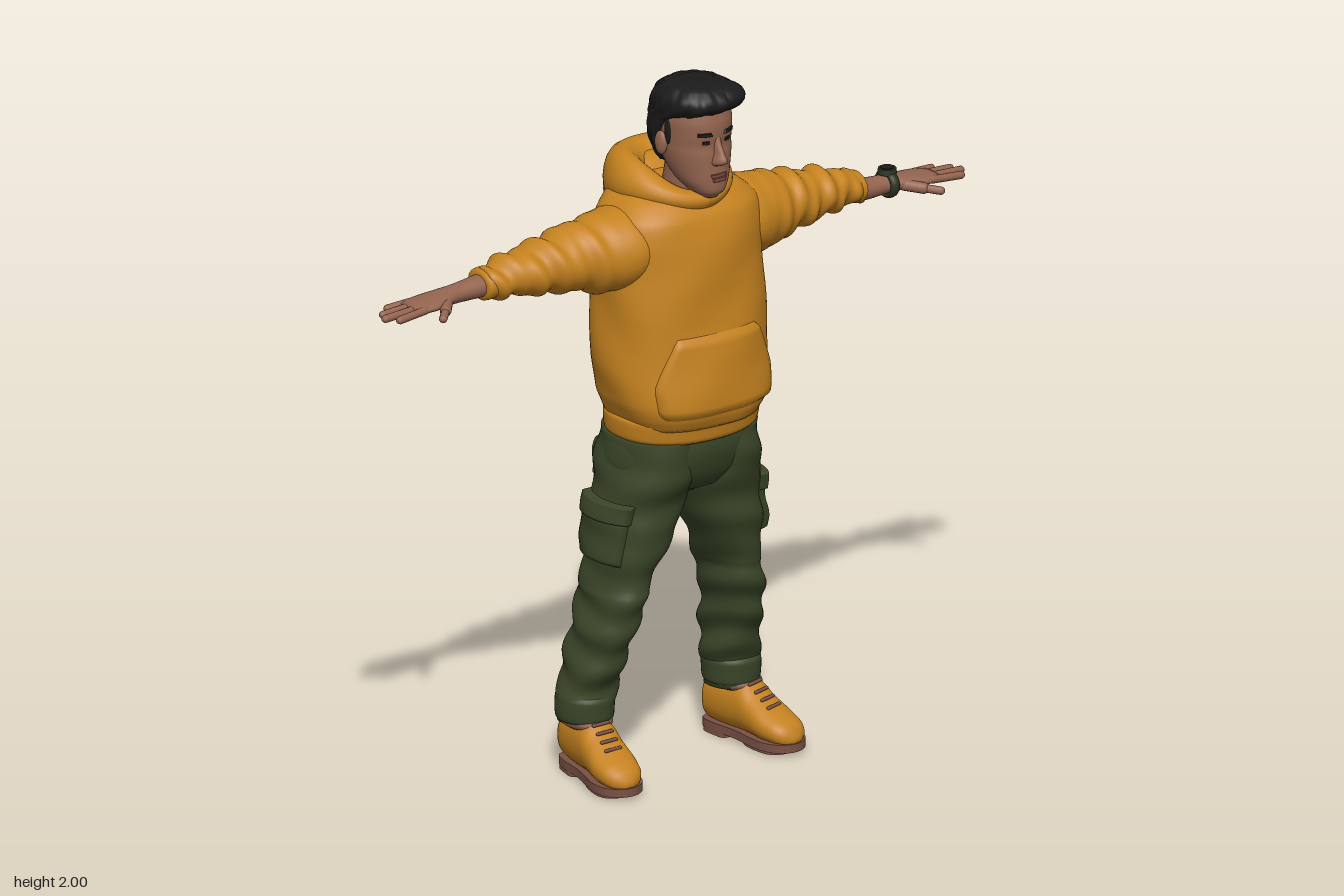
import * as THREE from 'three';

const mat = (name, color) => Object.assign(new THREE.MeshStandardMaterial({ color }), { name });
const M = {
  hoodie: mat('mustard cloth', 0xc5821f), pants: mat('olive cloth', 0x3a4628),
  skin: mat('skin', 0x93644f), hair: mat('black hair', 0x1b1b1c),
  shoe: mat('tan leather', 0xc4811f), sole: mat('brown rubber', 0x7a5145),
  watch: mat('dark green strap', 0x2c3423), lips: mat('lips', 0x7d4c42),
};
const lerp = THREE.MathUtils.lerp;
const signedPow = (v, e) => Math.sign(v) * Math.abs(v) ** e;

// Grid of points p(i, j); wrap closes the j direction, caps close the ends
function sheet(p, n, m, { wrap = false, flip = false, caps = false } = {}) {
  const pos = [], idx = [], w = wrap ? m : m + 1;
  const tri = (a, b, c) => (flip ? idx.push(a, c, b) : idx.push(a, b, c));
  for (let i = 0; i <= n; i++) for (let j = 0; j < w; j++) pos.push(...p(i, j));
  for (let i = 0; i < n; i++) for (let j = 0; j < m; j++) {
    const a = i * w + j, b = i * w + (j + 1) % w;
    tri(a, b, b + w); tri(a, b + w, a + w);
  }
  if (caps) for (const i of [0, n]) {
    const mid = [0, 0, 0], c = pos.length / 3;
    for (let j = 0; j < w; j++) for (let k = 0; k < 3; k++) mid[k] += pos[(i * w + j) * 3 + k] / w;
    pos.push(...mid);
    for (let j = 0; j < m; j++) {
      const a = i * w + j, b = i * w + (j + 1) % w;
      if (i) tri(a, b, c); else tri(b, a, c);
    }
  }
  const g = new THREE.BufferGeometry();
  g.setAttribute('position', new THREE.Float32BufferAttribute(pos, 3));
  g.setIndex(idx);
  g.computeVertexNormals();
  return g;
}

// Smooth lookup in rings of [t, centre1, centre2, radius1, radius2]
function ringAt(rings, t) {
  let k = 0;
  while (k < rings.length - 2 && t > rings[k + 1][0]) k++;
  const R = (i) => rings[Math.min(Math.max(i, 0), rings.length - 1)];
  const f = (t - R(k)[0]) / (R(k + 1)[0] - R(k)[0]);
  return [1, 2, 3, 4].map((q) => {
    const [a, b, c, d] = [R(k - 1)[q], R(k)[q], R(k + 1)[q], R(k + 2)[q]];
    return b + 0.5 * f * (c - a + f * (2 * a - 5 * b + 4 * c - d + f * (3 * (b - c) + d - a)));
  });
}
function surfacePoint(o, t, a, extra = 0) {
  const [c1, c2, r1, r2] = ringAt(o.rings, t), e = o.e ?? 1, s = o.s ?? 1;
  const d = extra + (o.fold ? o.fold(t, a) : 0);
  const u = c1 + (r1 + d) * signedPow(Math.cos(a), e), v = c2 + (r2 + d) * signedPow(Math.sin(a), e);
  return o.axis === 'y' ? [u, t, v * s] : o.axis === 'z' ? [u, v, t * s] : [t, u, v * s];
}
const flipped = (o) => (o.axis === 'y') !== ((o.s ?? 1) < 0);
function loft(o, n = 40, m = 40) {
  const t0 = o.rings[0][0], t1 = o.rings.at(-1)[0];
  return sheet((i, j) => surfacePoint(o, lerp(t0, t1, i / n), j / m * Math.PI * 2), n, m,
    { wrap: true, caps: true, flip: flipped(o) });
}
// Raised patch that follows a loft; a0 and a1 give its side edges
function panel(o, t0, t1, a0, a1, thick, edge = -0.004, n = 14, m = 18) {
  return sheet((i, j) => {
    const rim = i === 0 || j === 0 || i === n || j === m;
    return surfacePoint(o, lerp(t0, t1, i / n), lerp(a0(i / n), a1(i / n), j / m), rim ? edge : thick);
  }, n, m, { flip: flipped(o) });
}

export function createModel() {
  const root = new THREE.Group();
  root.name = 'standingMan';
  let parent = root;
  const add = (name, geo, material) => {
    const mesh = new THREE.Mesh(geo, material);
    mesh.name = name;
    parent.add(mesh);
    return mesh;
  };
  const group = (name) => { parent = new THREE.Group(); parent.name = name; root.add(parent); return parent; };
  const ball = (name, m, p, r) => add(name, new THREE.SphereGeometry(1, 24, 16).scale(...r).translate(...p), m);
  const limb = (name, m, p, q, r) => {
    const a = new THREE.Vector3(...p), b = new THREE.Vector3(...q), d = b.clone().sub(a);
    const mesh = add(name, new THREE.CapsuleGeometry(r, d.length(), 6, 12), m);
    mesh.position.copy(a).add(b).multiplyScalar(0.5);
    mesh.quaternion.setFromUnitVectors(new THREE.Vector3(0, 1, 0), d.normalize());
  };

  // Hoodie body, hem and front pocket
  group('hoodie');
  const torso = { axis: 'y', e: 0.86, fold: (t, a) => 0.003 * Math.sin(22 * t + 3 * Math.sin(2 * a)), rings: [
    [1.03, .025, 0, .178, .208], [1.06, .03, 0, .186, .222], [1.1, .024, 0, .195, .238], [1.2, .01, 0, .196, .253],
    [1.35, .005, 0, .184, .25], [1.45, .002, 0, .18, .248], [1.55, 0, 0, .172, .25], [1.62, -.003, 0, .155, .232],
    [1.665, -.02, 0, .13, .185], [1.7, -.03, 0, .08, .12]] };
  add('body', loft(torso, 60, 64), M.hoodie);
  add('hem', loft({ axis: 'y', e: 0.88, rings: [[.985, .018, 0, .165, .206], [.993, .018, 0, .173, .216],
    [1.02, .02, 0, .176, .22], [1.048, .022, 0, .178, .22], [1.056, .022, 0, .17, .21]] }, 14, 64), M.hoodie);
  const pocketEdge = (u) => (u < 0.4 ? 0.88 : lerp(0.88, 0.5, (u - 0.4) / 0.6));
  add('frontPocket', panel(torso, 1.065, 1.3, (u) => -pocketEdge(u), pocketEdge, 0.012), M.hoodie);

  // Hood lying round the neck, fuller at the back
  add('hoodRoll', sheet((i, j) => {
    const A = i / 64 * Math.PI * 2, b = j / 20 * Math.PI * 2, c = Math.cos(A), k = (1 - c) / 2;
    const w = 0.003 * Math.sin(3 * b + 5 * k);
    const r = (0.033 + 0.035 * k + w) * Math.cos(b);
    const y = 1.69 - (c > 0 ? 0.035 : 0.025) * c * c + (0.03 + 0.065 * k + w) * Math.sin(b);
    return [-0.025 + (0.135 + r) * c, y, (0.12 + r) * Math.sin(A)];
  }, 64, 20, { wrap: true }), M.hoodie);
  ball('hoodPouch', M.hoodie, [-.125, 1.635, 0], [.088, .1, .14]);

  // Arms
  for (const s of [1, -1]) {
    const drop = s < 0 ? 0.02 : 0;
    group(s < 0 ? 'leftArm' : 'rightArm');
    add('sleeve', loft({ axis: 'z', s,
      fold: (t, a) => THREE.MathUtils.smoothstep(t, .2, .4) * (.006 * Math.sin(62 * t + 2.2 * Math.cos(a + s)) + .004 * Math.sin(105 * t - 2 * Math.sin(a))),
      rings: [[.1, -.01, 1.545, .11, .09], [.2, -.005, 1.535, .13, .112], [.28, -.008, 1.528, .114, .108],
        [.36, -.018, 1.53, .1, .09], [.45, -.025, 1.525, .088, .073], [.54, -.032, 1.522, .074, .06],
        [.61, -.036, 1.518 - drop * .4, .057, .047], [.645, -.038, 1.515 - drop * .5, .05, .042]] }, 80, 36), M.hoodie);
    add('cuff', loft({ axis: 'z', s, rings: [[.615, -.037, 1.516 - drop * .4, .046, .038], [.62, -.037, 1.516 - drop * .4, .054, .045],
      [.648, -.037, 1.515 - drop * .5, .053, .044], [.655, -.037, 1.515 - drop * .5, .04, .034]] }, 10, 28), M.hoodie);
    const y = 1.505 - drop;
    add('forearmAndPalm', loft({ axis: 'z', s, rings: [[.56, -.036, 1.516, .043, .036], [.66, -.034, y + .008, .036, .031],
      [.74, -.033, y + .005, .031, .026], [.78, -.031, y + .004, .04, .023], [.83, -.028, y + .002, .052, .019],
      [.88, -.029, y, .05, .015], [.9, -.029, y, .04, .009]] }, 40, 28), M.skin);
    [[-.068, -.077, .935], [-.042, -.045, .975], [-.015, -.016, .989], [.011, .017, .965]].forEach(([x0, x1, z], i) =>
      limb('finger' + (i + 1), M.skin, [x0, y, s * .87], [x1, y - .006, s * z], .011));
    limb('thumbBase', M.skin, [-.005, y, s * .785], [.035, y - .006, s * .822], .016);
    limb('thumbTip', M.skin, [.035, y - .006, s * .822], [.068, y - .012, s * .856], .0115);
    if (s < 0) {
      // Wristwatch
      add('watchStrap', new THREE.TorusGeometry(.034, .009, 10, 32).scale(1.06, .95, 1.6).translate(-.033, y + .005, -.75), M.watch);
      add('watchCase', new THREE.CylinderGeometry(.025, .027, .016, 24).translate(-.033, y + .042, -.75), M.watch);
      add('watchFace', new THREE.CylinderGeometry(.019, .019, .004, 24).translate(-.033, y + .051, -.75), M.hair);
    }
  }

  // Trousers
  group('trousers');
  add('hips', loft({ axis: 'y', e: 0.9, rings: [[.8, 0, 0, .06, .04], [.83, 0, 0, .12, .13], [.88, .004, 0, .15, .215],
    [.95, .01, 0, .164, .222], [1.02, .012, 0, .158, .2]] }, 24, 48), M.pants);
  for (const s of [1, -1]) {
    group(s < 0 ? 'leftLeg' : 'rightLeg');
    const leg = { axis: 'y', s, e: 0.93,
      fold: (t, a) => (t < .55 ? .0055 : .0025) * Math.sin(58 * t + 2.4 * Math.sin(a + s)) + .003 * Math.sin(34 * t - 3 * Math.cos(a)),
      rings: [[.15, -.082, .25, .07, .066], [.2, -.082, .25, .08, .074], [.26, -.08, .243, .083, .078], [.32, -.068, .235, .092, .074],
        [.4, -.046, .225, .106, .07], [.5, -.032, .205, .114, .073], [.6, -.023, .182, .121, .08], [.7, -.012, .152, .129, .108],
        [.8, -.007, .125, .138, .121], [.9, .005, .115, .158, .113], [.99, .01, .105, .158, .105]] };
    add('trouserLeg', loft(leg, 90, 40), M.pants);
    add('turnUp', loft({ axis: 'y', s, rings: [[.158, -.083, .252, .07, .066], [.165, -.083, .252, .081, .078], [.2, -.083, .252, .084, .081],
      [.23, -.082, .25, .084, .08], [.24, -.082, .249, .074, .07]] }, 14, 36), M.pants);
    add('cargoPocket', panel(leg, .63, .77, () => .85, () => 2.3, .016), M.pants);
    add('cargoFlap', panel(leg, .755, .81, () => .8, () => 2.35, .023), M.pants);
    add('backPocket', panel(leg, .83, .94, () => 2.6, () => 3.3, .007), M.pants);
  }

  // Boots, toes turned out
  const outline = (pts) => new THREE.Shape(new THREE.SplineCurve(
    [...pts, ...pts.slice(1, -1).reverse().map(([x, z]) => [x, -z]), pts[0]].map((p) => new THREE.Vector2(...p))).getPoints(60));
  const slab = (pts, y, h) => new THREE.ExtrudeGeometry(outline(pts), { depth: h, bevelEnabled: false }).rotateX(-Math.PI / 2).translate(0, y, 0);
  for (const s of [1, -1]) {
    const boot = group(s < 0 ? 'leftBoot' : 'rightBoot');
    boot.position.z = s * .265;
    boot.rotation.y = s > 0 ? -.17 : .11;
    add('upper', loft({ axis: 'x', e: .9, rings: [[-.166, .085, 0, .035, .025], [-.15, .098, 0, .068, .05], [-.08, .1, 0, .075, .058],
      [-.01, .1, 0, .074, .06], [.03, .085, 0, .06, .062], [.08, .07, 0, .047, .066], [.13, .059, 0, .036, .058],
      [.158, .051, 0, .026, .04], [.17, .044, 0, .01, .014]] }, 44, 32), M.shoe);
    add('sole', slab([[-.17, 0], [-.155, .042], [-.1, .054], [-.02, .054], [.08, .069], [.135, .06], [.165, .032], [.174, 0]], .012, .024), M.sole);
    add('heel', slab([[-.168, 0], [-.152, .042], [-.1, .052], [-.065, .048], [-.06, 0]], 0, .03), M.sole);
    add('forefootTread', slab([[0, 0], [.01, .048], [.08, .063], [.13, .052], [.15, 0]], .003, .012), M.sole);
    add('ankleCollar', new THREE.TorusGeometry(.055, .013, 10, 32).rotateX(Math.PI / 2).scale(1.25, 1, 1).translate(-.075, .158, 0), M.sole);
    for (let i = 0; i < 4; i++) {
      const x = .002 + i * .024, y = .168 - i * .0165;
      limb('lace' + (i + 1), M.sole, [x, y, -.024], [x + .008, y, .024], .005);
    }
  }

  // Head and face
  group('head').position.z = -.011;
  const head = { axis: 'y', e: .93, rings: [[1.672, .128, 0, .025, .022], [1.69, .115, 0, .056, .046], [1.72, .095, 0, .079, .068],
    [1.76, .076, 0, .096, .083], [1.8, .068, 0, .102, .092], [1.825, .064, 0, .103, .094], [1.86, .062, 0, .109, .096],
    [1.9, .06, 0, .108, .096], [1.95, .06, 0, .09, .08], [1.98, .06, 0, .04, .04]] };
  add('skull', loft(head, 50, 48), M.skin);
  add('neck', loft({ axis: 'y', rings: [[1.58, .0, .008, .08, .08], [1.66, .025, .005, .066, .066], [1.78, .045, 0, .066, .066]] }, 12, 28), M.skin);
  add('nose', loft({ axis: 'y', rings: [[1.769, .165, 0, .01, .012], [1.776, .17, 0, .024, .021], [1.786, .17, 0, .034, .02],
    [1.805, .167, 0, .028, .014], [1.835, .163, 0, .015, .011], [1.86, .16, 0, .008, .01]] }, 20, 20), M.skin);
  add('upperLip', panel(head, 1.737, 1.747, () => -.3, () => .3, .005, -.002), M.lips);
  add('lowerLip', panel(head, 1.725, 1.737, () => -.26, () => .26, .007, -.002), M.lips);
  for (const s of [1, -1]) {
    const side = { ...head, s };
    add('eye', panel(side, 1.833, 1.844, () => .24, () => .47, .003, -.001), M.hair);
    add('eyebrow', panel(side, 1.857, 1.868, (u) => .16 + .06 * u, () => .62, .005, -.001), M.hair);
    ball('ear', M.skin, [.045, 1.822, s * .1], [.023, .034, .013]).rotation.z = 0;
  }

  // Hair with a swept quiff
  const strands = (t, a) => .0025 * Math.sin(11 * a + 40 * t) + .0015 * Math.sin(23 * a - 60 * t);
  add('hair', loft({ axis: 'y', e: .93, fold: strands, rings: [[1.75, -.004, 0, .035, .06], [1.77, -.003, 0, .05, .075],
    [1.81, .002, 0, .056, .094], [1.85, .008, 0, .064, .103], [1.89, .022, 0, .084, .106], [1.912, .048, 0, .108, .108],
    [1.935, .064, -.002, .124, .112], [1.96, .069, -.003, .118, .108], [1.985, .071, 0, .088, .08], [1.996, .072, 0, .045, .042]] }, 60, 72), M.hair);
  ball('quiff', M.hair, [.125, 1.95, -.04], [.066, .04, .072]);
  ball('quiffSide', M.hair, [.1, 1.945, .04], [.075, .038, .058]);
  for (const s of [1, -1]) ball('sideburn', M.hair, [.068, 1.865, s * .09], [.014, .045, .012]);
  return root;
}
